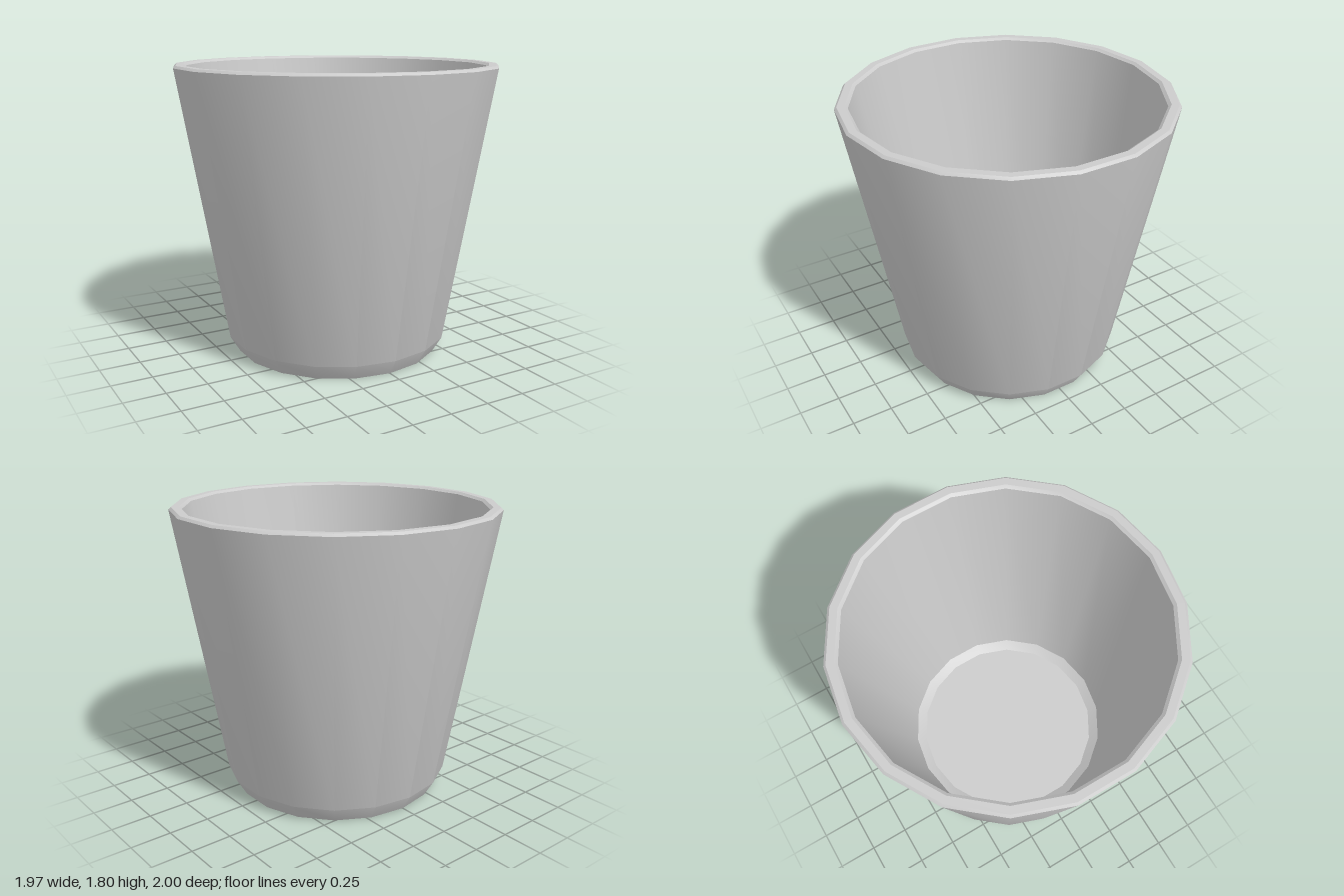
import * as THREE from 'three';
import { toCreasedNormals } from 'three/addons/utils/BufferGeometryUtils.js';

const SIDES = 18;

// Closed cup wall: underside, outer face, rim, inner face, floor
const profile = [
  [0, 0], [0.65, 0], [0.71, 0.1],          // underside and foot chamfer
  [1.0, 1.788], [0.985, 1.802],            // outer wall and rim bevel
  [0.94, 1.802], [0.922, 1.788],           // rim top and inner bevel
  [0.65, 0.22], [0.59, 0.18], [0, 0.18],   // inner wall, chamfer and floor
].map(([r, y]) => new THREE.Vector2(r, y));

export function createModel() {
  const group = new THREE.Group();
  group.name = 'cup';

  const geometry = toCreasedNormals(
    new THREE.LatheGeometry(profile, SIDES),
    THREE.MathUtils.degToRad(25)
  );
  const body = new THREE.Mesh(geometry, new THREE.MeshStandardMaterial({ color: 0xcccccc }));
  body.name = 'cupBody';
  group.add(body);

  return group;
}
